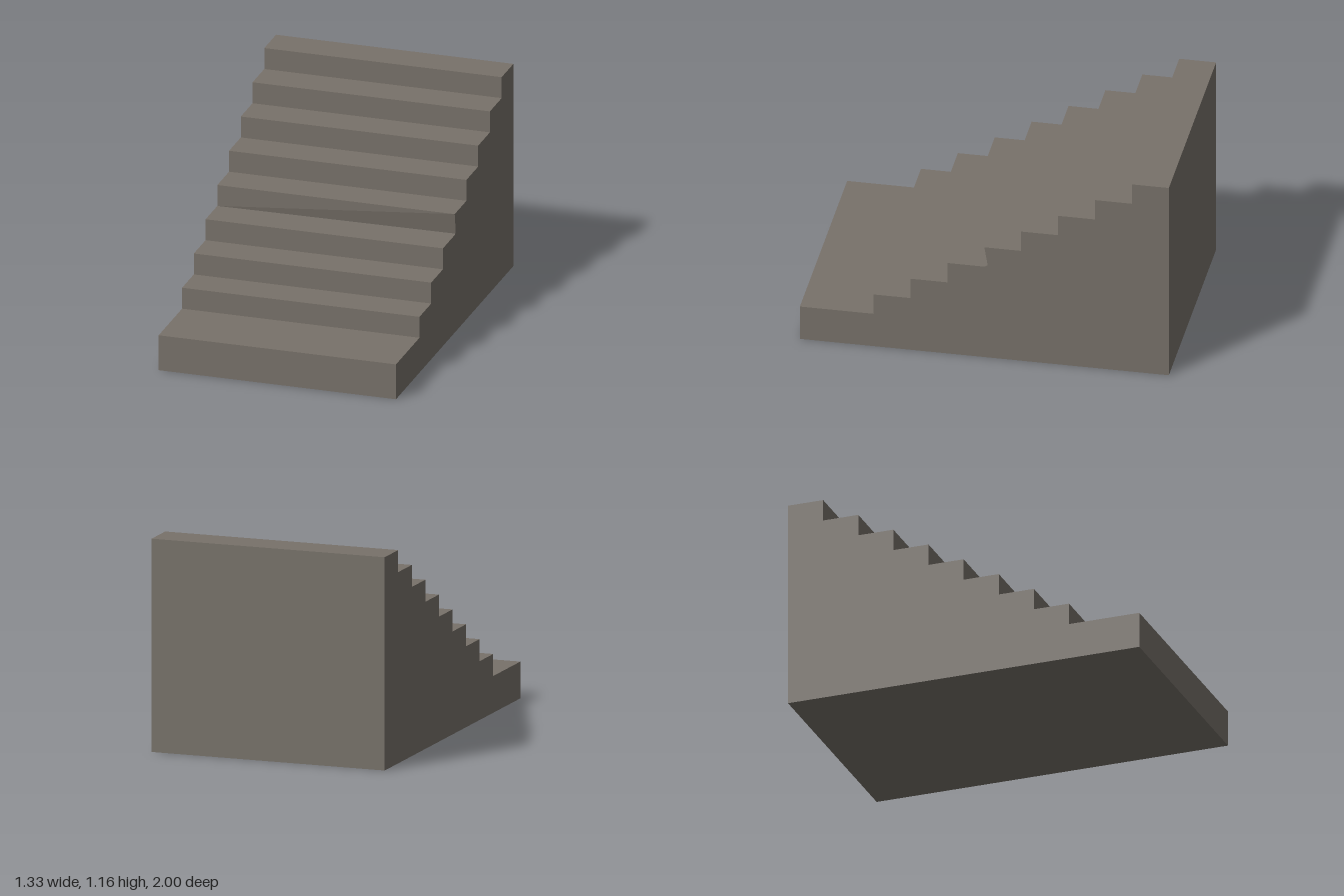
import * as THREE from 'three';

export function createModel() {
  const model = new THREE.Group();
  model.name = 'staircase';
  const stone = new THREE.MeshStandardMaterial({ color: 0x78726a });
  stone.name = 'warm grey stone';

  const width = 1.33, run = 0.2, rise = 0.12, steps = 8;

  // Side profile: a deep bottom landing, then eight equal steps up to the back
  const profile = new THREE.Shape();
  profile.moveTo(-1, 0);
  profile.lineTo(1, 0);
  profile.lineTo(1, 0.2 + steps * rise);
  for (let i = steps; i > 0; i--) {
    const riser = -0.6 + (i - 1) * run;
    profile.lineTo(riser, 0.2 + i * rise);
    profile.lineTo(riser, 0.2 + (i - 1) * rise);
  }
  profile.lineTo(-1, 0.2);
  profile.closePath();

  const geometry = new THREE.ExtrudeGeometry(profile, { depth: width, bevelEnabled: false });
  geometry.translate(0, 0, -width / 2);
  geometry.rotateY(Math.PI / 2);

  // Worn notch: the foot of the middle riser is set back at its left end
  const p = geometry.attributes.position;
  for (let i = 0; i < p.count; i++) {
    if (p.getX(i) > 0 && Math.abs(p.getY(i) - 0.56) < 0.01 && Math.abs(p.getZ(i)) < 0.01) {
      p.setZ(i, -0.02);
    }
  }
  geometry.computeVertexNormals();

  const stairs = new THREE.Mesh(geometry, stone);
  stairs.name = 'stairs';
  model.add(stairs);
  return model;
}
